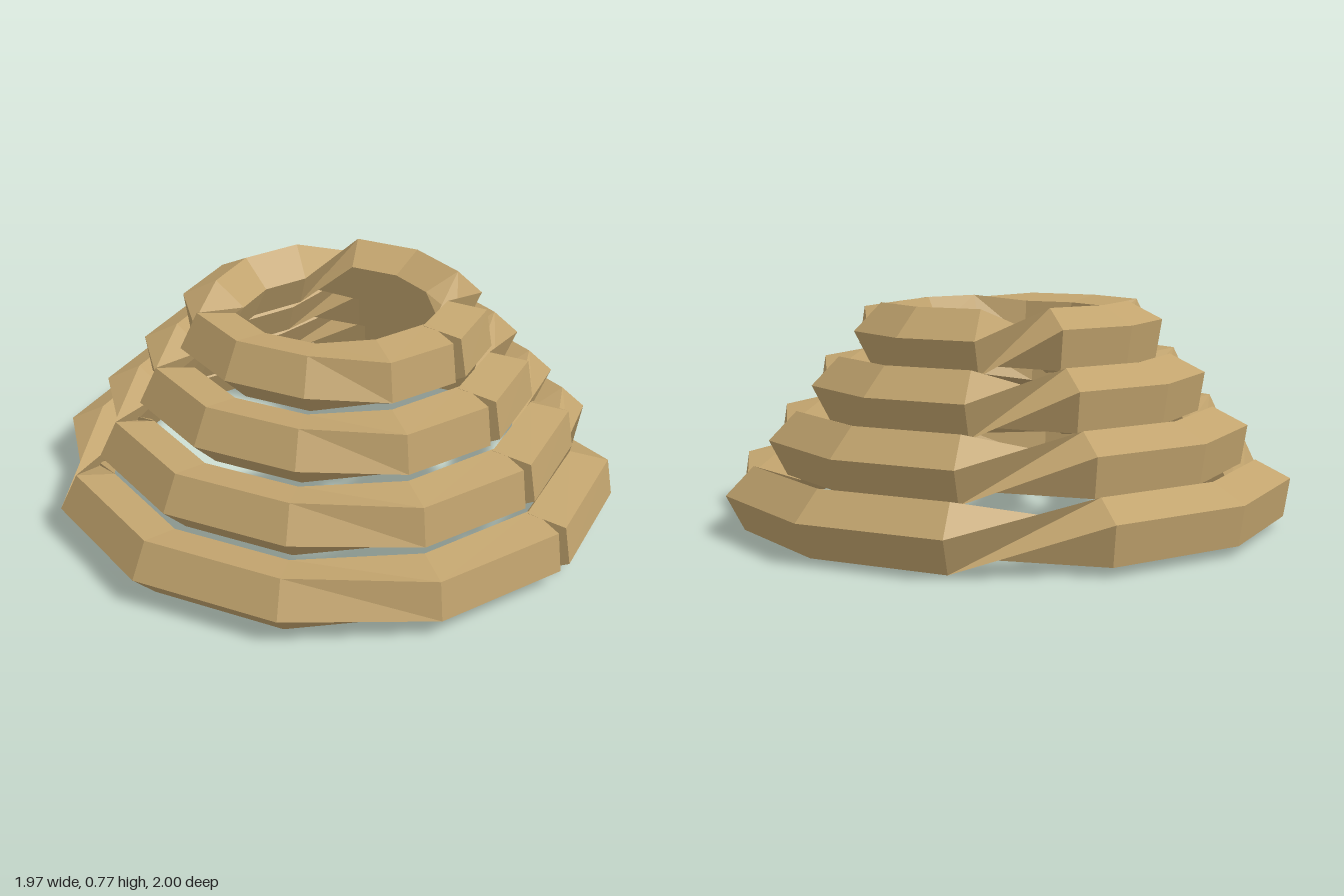
import * as THREE from 'three';

const SIDES = 5;        // corners of the band's cross-section
const STEPS = 12;       // straight pieces per ring
const TUBE = 0.115;     // radius of the cross-section
const rad = THREE.MathUtils.degToRad;

// Roll of the cross-section in each quarter of the ring: right, front, left, back
const ROLL = [45, 135, -45, 225];

// One open ring: pentagon sections swept around twelve corners, rolling between quarters
function ringGeometry(radius) {
  const pos = [];
  const index = [];
  for (let i = 0; i <= STEPS; i++) {
    const a = rad(i * 30);
    // the two end sections stand square to their own segment
    const facing = a + rad(i === 0 ? 15 : i === STEPS ? -15 : 0);
    const roll = ROLL[Math.floor((i + 1) / 3) % 4];
    for (let k = 0; k < SIDES; k++) {
      const t = rad(roll + (k * 360) / SIDES);
      const out = TUBE * Math.cos(t);
      pos.push(
        radius * Math.cos(a) + out * Math.cos(facing),
        TUBE * Math.sin(t),
        radius * Math.sin(a) + out * Math.sin(facing)
      );
    }
  }
  // side faces
  for (let i = 0; i < STEPS; i++) {
    for (let k = 0; k < SIDES; k++) {
      const a = i * SIDES + k;
      const b = i * SIDES + ((k + 1) % SIDES);
      const c = a + SIDES;
      const d = b + SIDES;
      index.push(a, b, c, b, d, c);
    }
  }
  // end caps
  const last = STEPS * SIDES;
  for (let k = 1; k < SIDES - 1; k++) {
    index.push(0, k + 1, k, last, last + k, last + k + 1);
  }
  const g = new THREE.BufferGeometry();
  g.setAttribute('position', new THREE.Float32BufferAttribute(pos, 3));
  g.setIndex(index);
  const flat = g.toNonIndexed();
  flat.computeVertexNormals();
  return flat;
}

export function createModel() {
  const model = new THREE.Group();
  model.name = 'steppedRings';
  const tan = new THREE.MeshStandardMaterial({ color: 0xc2a46e });
  tan.name = 'tan';
  tan.flatShading = true;
  tan.side = THREE.DoubleSide;

  // four rings, each smaller and higher than the one below
  for (let n = 0; n < 4; n++) {
    const ring = new THREE.Mesh(ringGeometry(0.885 - n * 0.149), tan);
    ring.name = `ring${n + 1}`;
    ring.position.y = 0.1136 + n * 0.18;
    model.add(ring);
  }
  return model;
}
